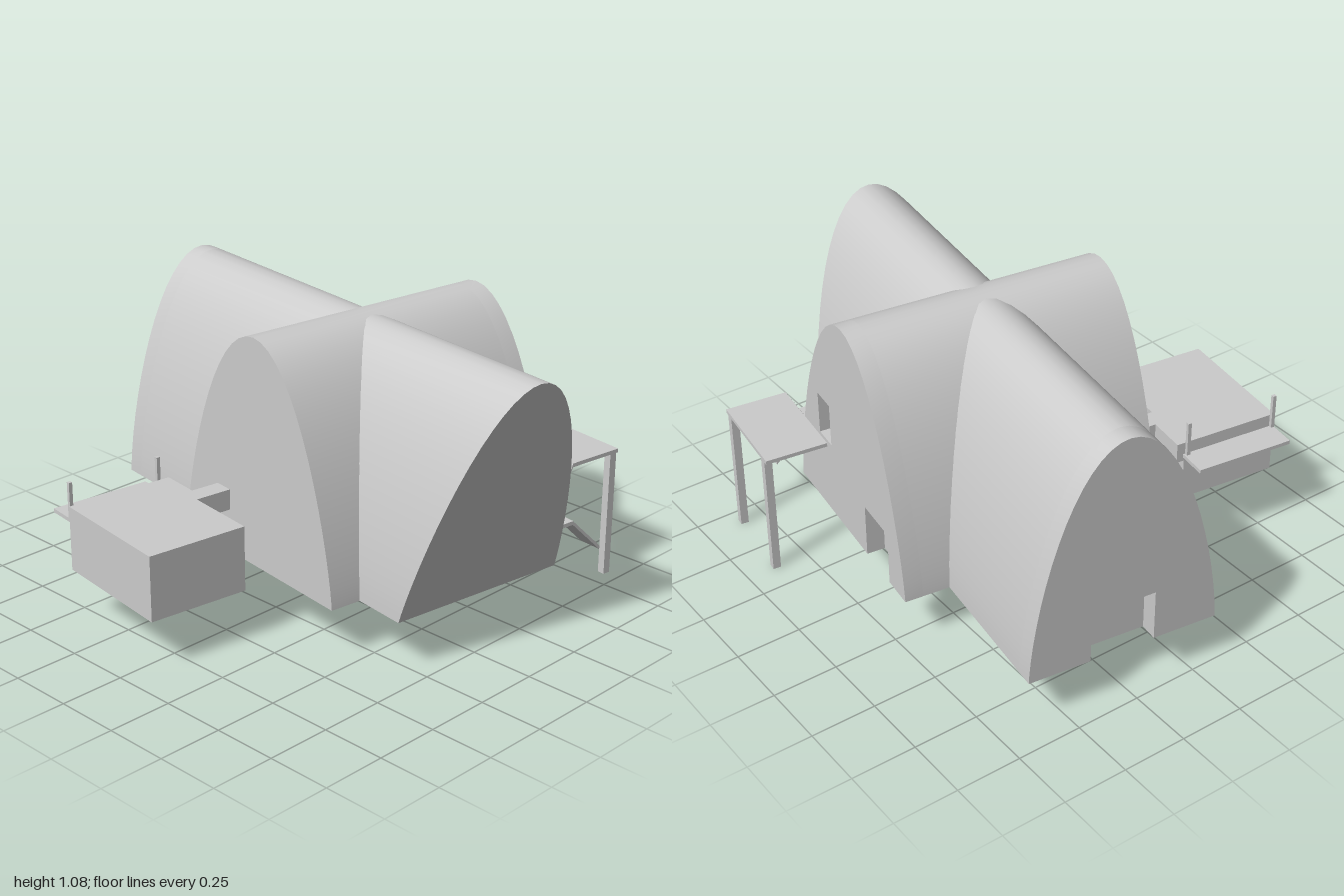
import * as THREE from 'three';
import { toCreasedNormals } from 'three/addons/utils/BufferGeometryUtils.js';

const BASE = 0.2;   // floor level of the building
const RECESS = 0.07; // depth of doors and windows

const material = new THREE.MeshStandardMaterial({ color: 0xcccccc });

// Pointed-parabolic arch; door = [x0, x1, top] is a notch in the base line
function archShape(centre, half, height, power, door) {
  const shape = new THREE.Shape();
  const steps = 32;
  for (let i = 0; i <= steps; i++) {
    const a = (Math.PI * i) / steps;
    const x = centre + half * Math.cos(a);
    const y = BASE + height * Math.pow(Math.abs(Math.sin(a)), 2 / power);
    if (i === 0) shape.moveTo(x, y);
    else shape.lineTo(x, y);
  }
  if (door) {
    const [x0, x1, top] = door;
    shape.lineTo(x0, BASE);
    shape.lineTo(x0, top);
    shape.lineTo(x1, top);
    shape.lineTo(x1, BASE);
  }
  shape.closePath();
  return shape;
}

function extrude(shape, from, to) {
  const geo = new THREE.ExtrudeGeometry(shape, { depth: to - from, bevelEnabled: false });
  return geo.translate(0, 0, from);
}

export function createModel() {
  const model = new THREE.Group();
  model.name = 'vaultedBuilding';

  function add(name, geo) {
    const mesh = new THREE.Mesh(geo, material);
    mesh.name = name;
    model.add(mesh);
    return mesh;
  }

  function box(name, x0, x1, y0, y1, z0, z1) {
    const geo = new THREE.BoxGeometry(x1 - x0, y1 - y0, z1 - z0);
    return add(name, geo.translate((x0 + x1) / 2, (y0 + y1) / 2, (z0 + z1) / 2));
  }

  // Sloping slab whose top runs from (zA, yA) to (zB, yB)
  function ramp(name, x0, x1, zA, yA, zB, yB) {
    const t = 0.015;
    const shape = new THREE.Shape([
      new THREE.Vector2(-zA, yA), new THREE.Vector2(-zB, yB),
      new THREE.Vector2(-zB, yB - t), new THREE.Vector2(-zA, yA - t),
    ]);
    add(name, extrude(shape, x0, x1).rotateY(Math.PI / 2));
  }

  // Long vault along x; its right-hand end leans outward
  const longCentre = 0.149, longHalf = 0.368, longHeight = 0.873, longPower = 1.45;
  const leftEnd = -0.978, rightEnd = 0.70, overhang = 0.27;
  const body = extrude(archShape(longCentre, longHalf, longHeight, longPower), leftEnd + RECESS, rightEnd);
  const pos = body.attributes.position;
  for (let i = 0; i < pos.count; i++) {
    if (pos.getZ(i) > 0) pos.setZ(i, pos.getZ(i) + (overhang * (pos.getY(i) - BASE)) / longHeight);
  }
  add('longVault', toCreasedNormals(body.rotateY(Math.PI / 2), 0.6));

  // End wall of the long vault with a recessed door
  const endDoor = [longCentre - 0.12, longCentre + 0.13, 0.4];
  const endWall = extrude(archShape(longCentre, longHalf, longHeight, longPower, endDoor), leftEnd, leftEnd + RECESS);
  add('longVaultDoorWall', toCreasedNormals(endWall.rotateY(Math.PI / 2), 0.6));

  // Cross vault along z
  const cross = [0.045, 0.443, 0.88, 1.3];
  const back = -0.69, front = 0.343;
  add('crossVault', toCreasedNormals(extrude(archShape(...cross), back + RECESS, front), 0.6));

  // Back wall of the cross vault with a ground door and a platform door
  const backShape = archShape(...cross, [-0.27, -0.085, 0.41]);
  backShape.holes.push(new THREE.Path([
    new THREE.Vector2(0.19, 0.51), new THREE.Vector2(0.19, 0.68),
    new THREE.Vector2(0.29, 0.68), new THREE.Vector2(0.29, 0.51),
  ]));
  add('crossVaultDoorWall', toCreasedNormals(extrude(backShape, back, back + RECESS), 0.6));

  // Front annex with its connecting passage
  box('annex', -0.343, 0.177, BASE, 0.45, 0.488, 0.884);
  box('passage', -0.19, -0.114, 0.37, 0.45, 0.34, 0.488);
  box('passageLedge', -0.343, -0.19, 0.37, 0.45, 0.457, 0.488);

  // Side shelf with two posts
  box('shelf', -0.46, -0.343, 0.385, 0.4, 0.484, 0.88);
  for (const z of [0.499, 0.873]) {
    box('shelfPost', -0.357, -0.343, 0.385, 0.54, z - 0.007, z + 0.007);
  }

  // Raised platform behind the building
  box('platform', 0.205, 0.585, 0.498, 0.513, -0.939, -0.7);
  for (const x of [0.25, 0.565]) {
    box('platformLeg', x - 0.015, x + 0.015, 0, 0.498, -0.935, -0.905);
  }

  // Folded stairway down from the platform
  ramp('upperRamp', 0.485, 0.59, -0.7, 0.513, -0.61, 0.347);
  box('landing', 0.485, 0.693, 0.332, 0.347, -0.612, -0.514);
  ramp('lowerRamp', 0.593, 0.693, -0.61, 0.347, -0.755, 0.207);

  // The whole building is turned slightly on its site
  model.rotation.y = THREE.MathUtils.degToRad(-7.5);
  const root = new THREE.Group();
  root.name = 'building';
  root.add(model);
  return root;
}
